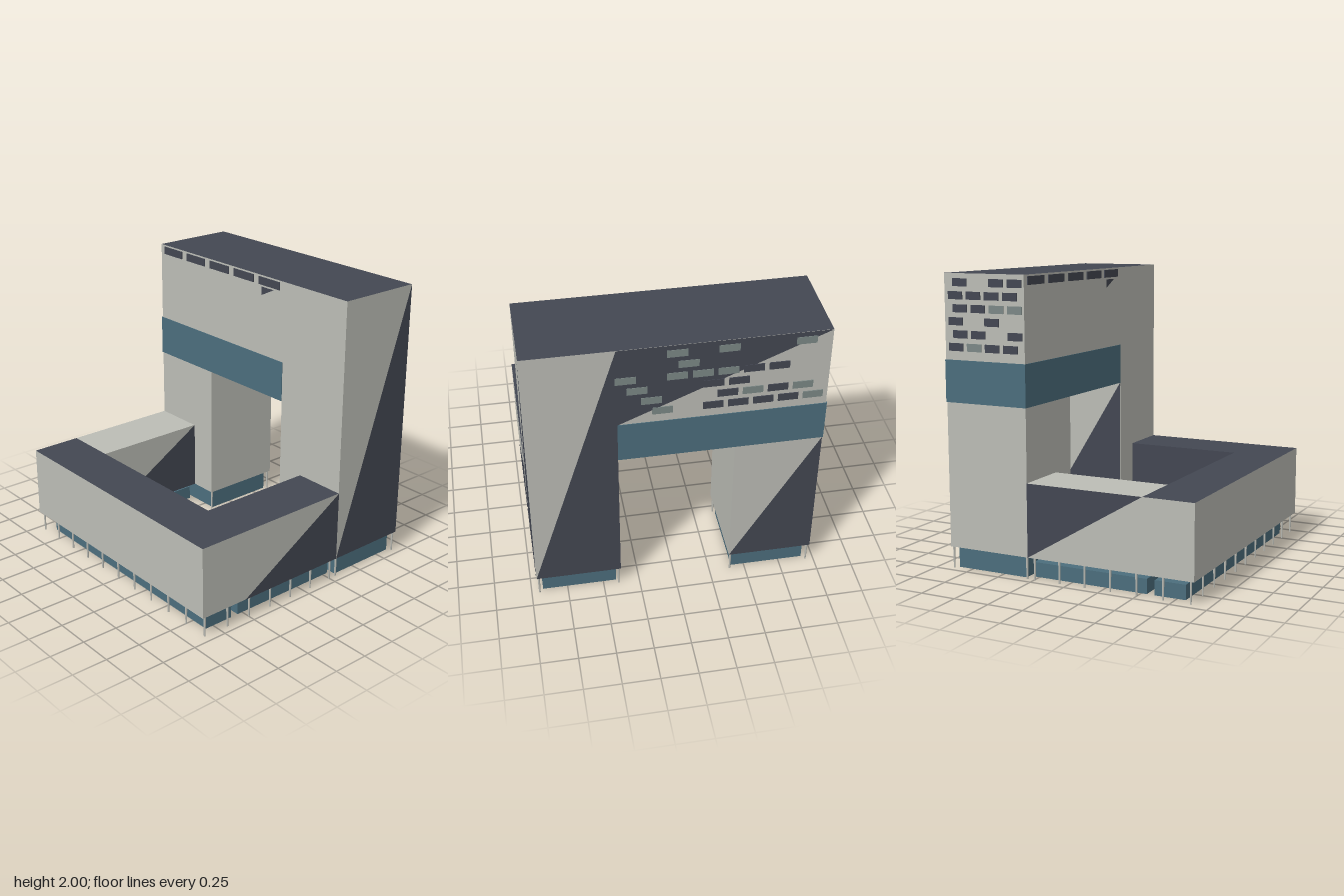
import * as THREE from 'three';

const mat = (name, color) => {
  const m = new THREE.MeshStandardMaterial({ color });
  m.name = name;
  return m;
};

export function createModel() {
  const light = mat('paleConcrete', 0xbcbdb6);
  const dark = mat('darkSlate', 0x434752);
  const teal = mat('tealGlass', 0x4c6e7d);
  const brown = mat('brownSoffit', 0x8a6a48);
  const soffit = mat('greySoffit', 0x86877f);
  const pane = mat('paleGlass', 0x7c8886);

  const model = new THREE.Group();
  model.name = 'building';

  // Box between two corners; one material or six in the order +x -x +y -y +z -z
  function block(name, x0, x1, y0, y1, z0, z1, material, parent = model) {
    const mesh = new THREE.Mesh(new THREE.BoxGeometry(x1 - x0, y1 - y0, z1 - z0), material);
    mesh.position.set((x0 + x1) / 2, (y0 + y1) / 2, (z0 + z1) / 2);
    mesh.name = name;
    parent.add(mesh);
    return mesh;
  }

  // Flat polygon lifted just off a wall; axis 'x' takes [z, y] points, axis 'z' takes [x, y]
  function panel(name, axis, at, side, points, material, parent = model) {
    const lift = at + side * 0.003;
    const pts = points.map(([a, y]) => (axis === 'x'
      ? new THREE.Vector3(lift, y, a) : new THREE.Vector3(a, y, lift)));
    const normal = pts[1].clone().sub(pts[0]).cross(pts[2].clone().sub(pts[0]));
    if (normal[axis] * side < 0) pts.reverse();
    const geo = new THREE.BufferGeometry().setFromPoints(pts);
    const index = [];
    for (let i = 1; i < pts.length - 1; i++) index.push(0, i, i + 1);
    geo.setIndex(index);
    geo.computeVertexNormals();
    const mesh = new THREE.Mesh(geo, material);
    mesh.name = name;
    parent.add(mesh);
  }

  const X = 0.96, IN = 0.38, ARM = 0.585;           // outer, gateway and courtyard half widths
  const BACK = -0.9, MID = -0.29, BAR = 0.545, FRONT = 0.9;
  const BASE = 0.15, LOW = 0.65, B0 = 1.145, B1 = 1.43, TOP = 2;

  // Tall gateway: two legs, glazed band and upper storeys
  const roofed = [light, light, dark, brown, light, light];
  block('tallLeftLeg', IN, X, BASE, TOP, BACK, MID, roofed);
  block('tallRightLeg', -X, -IN, BASE, B0, BACK, MID, [light, light, light, brown, light, light]);
  block('upperStoreys', -X, IN, B1, TOP, BACK, MID, roofed);
  block('glazedBand', -X - 0.006, IN, B0, B1, BACK - 0.004, MID + 0.004,
    [teal, teal, teal, soffit, teal, teal]);

  // Low ring around the courtyard
  block('lowFrontBar', -X, X, BASE, LOW, BAR, FRONT, roofed);
  block('lowLeftArm', ARM, X, BASE, LOW, MID, BAR, [light, dark, dark, brown, light, light]);
  block('lowRightArm', -X, -ARM, BASE, LOW, MID, BAR, [light, light, light, brown, light, light]);

  // Dark diagonal facets
  panel('leftSideFacet', 'x', X, 1, [[MID, BASE], [BACK, BASE], [BACK, TOP]], dark);
  panel('leftArmFacet', 'x', X, 1, [[BAR, BASE], [MID, BASE], [MID, LOW]], dark);
  panel('rightArmInnerFacet', 'x', -ARM, 1, [[BAR, BASE], [MID, BASE], [MID, LOW]], dark);
  panel('rightArmOuterFacet', 'x', -X, -1, [[MID, BASE], [MID, LOW], [BAR, LOW]], dark);
  panel('gatewayInnerFacet', 'x', IN, -1, [[BACK, BASE], [MID, BASE], [MID, B0]], dark);
  panel('backLeftLegFacet', 'z', BACK, -1, [[IN, TOP], [X, BASE], [IN, BASE]], dark);
  panel('backRightLegFacet', 'z', BACK, -1, [[-X, B0], [-X, BASE], [-IN, BASE]], dark);
  panel('backUpperFacet', 'z', BACK, -1, [[IN, B1], [IN, TOP], [-X, TOP]], dark);

  // Front window strip and its small triangular pane
  const windows = new THREE.Group();
  windows.name = 'windows';
  model.add(windows);
  for (let i = 0; i < 5; i++) {
    const x = -0.92 + i * 0.2625;
    block('frontWindow', x, x + 0.208, 1.933, 1.988, MID, MID + 0.006, dark, windows);
  }
  panel('frontTriangleWindow', 'z', MID, 1, [[0.16, 1.92], [0.28, 1.92], [0.16, 1.86]], dark, windows);

  // Scattered windows on the back and right walls of the upper storeys
  let seed = 11;
  const random = () => {
    seed = (seed * 16807) % 2147483647;
    return seed / 2147483647;
  };
  const diagonal = (x) => B1 + (TOP - B1) * (IN - x) / (IN + X);
  for (let row = 0; row < 6; row++) {
    const y = 1.49 + row * 0.085;
    const shift = (row % 2) * 0.07;
    for (let i = 0; i < 8; i++) {
      const x = -0.93 + shift + i * 0.16;
      const onDark = y + 0.027 > diagonal(x + 0.065);
      const glass = onDark || random() < 0.25 ? pane : dark;
      if (random() < (onDark ? 0.45 : 0.65)) {
        block('backWindow', x, x + 0.13, y, y + 0.052, BACK - 0.006, BACK, glass, windows);
      }
    }
    for (let i = 0; i < 4; i++) {
      const z = BACK + 0.03 + shift * 0.5 + i * 0.14;
      const glass = random() < 0.35 ? pane : dark;
      if (random() < 0.7) {
        block('sideWindow', -X - 0.006, -X, y, y + 0.052, z, z + 0.11, glass, windows);
      }
    }
  }

  // Recessed glass ground floor
  for (const s of [-1, 1]) {
    const span = (a, b) => (s > 0 ? [a, b] : [-b, -a]);
    block('tallLegBase', ...span(0.41, 0.92), 0, BASE, -0.86, -0.325, teal);
    block('lowArmBase', ...span(0.65, 0.88), 0, 0.1, MID, 0.54, teal);
  }
  block('lowFrontBase', -0.88, 0.88, 0, 0.1, 0.595, 0.81, teal);

  // Slender columns along the outer edges
  const columnGeo = new THREE.CylinderGeometry(0.008, 0.006, BASE, 8);
  function column(x, z) {
    const mesh = new THREE.Mesh(columnGeo, light);
    mesh.position.set(x, BASE / 2, z);
    mesh.name = 'column';
    model.add(mesh);
  }
  for (let i = -5; i <= 5; i++) column(i * 0.188, 0.87);
  for (const s of [-1, 1]) {
    for (let i = 1; i <= 6; i++) column(s * 0.945, 0.87 - i * 0.186);
    for (const z of [-0.305, -0.885]) {
      column(s * 0.945, z);
      column(s * 0.395, z);
    }
  }

  return model;
}
